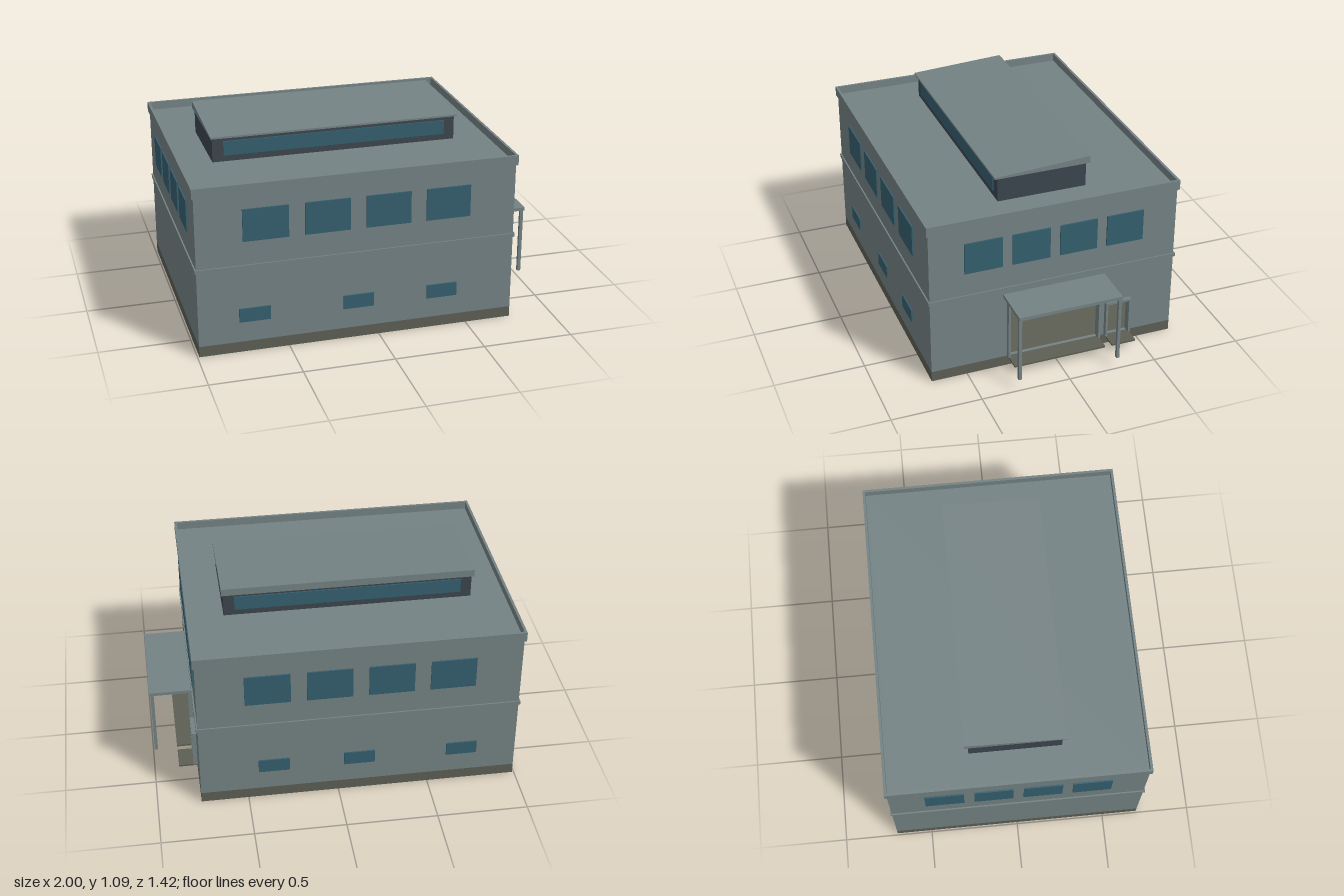
import * as THREE from 'three';

export function createModel() {
  const model = new THREE.Group();
  model.name = 'building';

  const material = (name, color) => {
    const m = new THREE.MeshStandardMaterial({ color });
    m.name = name;
    return m;
  };
  const wall = material('greyWall', 0x748284);
  const stone = material('brownStone', 0x5d5f54);
  const glass = material('blueGlass', 0x355f6f);
  const dark = material('darkCladding', 0x3c464e);
  const teal = material('tealSoffit', 0x30a4aa);

  const add = (name, geometry, mat, parent = model) => {
    const mesh = new THREE.Mesh(geometry, mat);
    mesh.name = name;
    parent.add(mesh);
    return mesh;
  };
  // Box given by its limits on each axis
  const box = (name, mat, x0, x1, y0, y1, z0, z1, parent = model) => {
    const g = new THREE.BoxGeometry(x1 - x0, y1 - y0, z1 - z0);
    g.translate((x0 + x1) / 2, (y0 + y1) / 2, (z0 + z1) / 2);
    return add(name, g, mat, parent);
  };
  const rectangle = (Type, x0, x1, y0, y1) => new Type([
    new THREE.Vector2(x0, y0), new THREE.Vector2(x1, y0),
    new THREE.Vector2(x1, y1), new THREE.Vector2(x0, y1),
  ]);

  const L = -0.99, R = 0.76, Z = 0.7, T = 0.02;
  const base = 0.06, roofY = 0.915;

  // Plinth, which is also the ground floor
  box('plinth', stone, L, R, 0, base, -Z, Z);

  // Outer walls
  box('frontWall', wall, L, R, base, roofY, Z - T, Z);
  box('backWall', wall, L, R, base, roofY, -Z, -Z + T);
  box('leftEndWall', wall, L, L + T, base, roofY, -Z + T, Z - T);

  // Entrance wall with two open doorways; shape x is -z
  const doors = [
    { name: 'largeDoor', z0: -0.27, z1: 0.27, top: 0.445 },
    { name: 'smallDoor', z0: -0.45, z1: -0.3, top: 0.277 },
  ];
  const J = 0.013;
  const entrance = rectangle(THREE.Shape, -Z + T, Z - T, base, roofY);
  for (const d of doors) {
    entrance.holes.push(rectangle(THREE.Path, -d.z1 + J, -d.z0 - J, base + 0.0005, d.top - J));
  }
  const entranceGeo = new THREE.ExtrudeGeometry(entrance, { depth: T, bevelEnabled: false });
  entranceGeo.rotateY(Math.PI / 2).translate(R - T, 0, 0);
  add('entranceWall', entranceGeo, wall);

  // Door frames and thresholds
  for (const d of doors) {
    const g = new THREE.Group();
    g.name = d.name + 'Surround';
    model.add(g);
    box('jamb', wall, R, 0.785, base, d.top, d.z0, d.z0 + J, g);
    box('jamb', wall, R, 0.785, base, d.top, d.z1 - J, d.z1, g);
    box('lintel', wall, R, 0.785, d.top - J, d.top, d.z0 + J, d.z1 - J, g);
    box('threshold', stone, R, 0.865, 0.05, base, d.z0 + 0.005, d.z1 - 0.005, g);
  }

  // Belt course, carrying the upper floor slab
  box('beltCourse', wall, L - 0.008, R + 0.008, 0.486, 0.506, -Z - 0.008, Z + 0.008);

  // Roof deck and raised parapet
  box('roofDeck', wall, L + 0.005, R - 0.005, 0.9, roofY, -Z + 0.005, Z - 0.005);
  const parapet = rectangle(THREE.Shape, -1, 0.77, -0.71, 0.71);
  parapet.holes.push(rectangle(THREE.Path, -0.986, 0.756, -0.696, 0.696));
  const parapetGeo = new THREE.ExtrudeGeometry(parapet, { depth: 0.055, bevelEnabled: false });
  parapetGeo.rotateX(-Math.PI / 2).translate(0, 0.905, 0);
  add('parapet', parapetGeo, wall);

  // Windows, mirrored on opposite sides
  const P = 0.008;
  for (const s of [-1, 1]) {
    const face = s > 0 ? [Z, Z + P] : [-Z - P, -Z];
    for (let i = 0; i < 4; i++) {
      const x = -0.74 + i * 0.333;
      box('upperWindow', glass, x, x + 0.246, 0.64, 0.82, ...face);
    }
    for (const x of [-0.77, -0.2, 0.27]) {
      box('lowerWindow', glass, x, x + 0.17, 0.177, 0.255, ...face);
    }
    const end = s > 0 ? [R, R + P] : [L - P, L];
    for (let i = 0; i < 4; i++) {
      const z = -0.505 + i * 0.267;
      box('endWindow', glass, ...end, 0.64, 0.82, z, z + 0.211);
    }
  }

  // Rooftop skylight block with long glazing on both sides
  const monitor = new THREE.Group();
  monitor.name = 'roofMonitor';
  model.add(monitor);
  box('monitorWalls', dark, -0.8, 0.565, roofY, 1.052, -0.25, 0.25, monitor);
  box('monitorGlazing', glass, -0.74, 0.505, 0.95, 1.03, 0.25, 0.257, monitor);
  box('monitorGlazing', glass, -0.74, 0.505, 0.95, 1.03, -0.257, -0.25, monitor);

  // Wedge roof, higher at the back; shape x is -z
  const wedge = new THREE.Shape([
    new THREE.Vector2(-0.27, 1.052), new THREE.Vector2(0.27, 1.052),
    new THREE.Vector2(0.27, 1.093), new THREE.Vector2(-0.27, 1.062),
  ]);
  const wedgeGeo = new THREE.ExtrudeGeometry(wedge, { depth: 1.385, bevelEnabled: false });
  wedgeGeo.rotateY(Math.PI / 2).translate(-0.81, 0, 0);
  add('monitorRoof', wedgeGeo, wall, monitor);

  // Entrance canopy on two posts
  const canopy = new THREE.Group();
  canopy.name = 'entranceCanopy';
  model.add(canopy);
  box('canopyTop', wall, R, 1, 0.45, 0.462, -0.292, 0.292, canopy);
  box('canopySoffit', teal, R, 0.985, 0.446, 0.45, -0.275, 0.275, canopy);
  box('outerBeam', wall, 0.985, 1, 0.443, 0.45, -0.292, 0.292, canopy);
  for (const s of [-1, 1]) {
    const z = s * 0.2825;
    box('sideBeam', wall, R, 0.985, 0.443, 0.45, z - 0.0085, z + 0.0085, canopy);
    box('canopyPost', wall, 0.974, 0.993, 0.063, 0.45, z - 0.0085, z + 0.0085, canopy);
  }

  return model;
}
